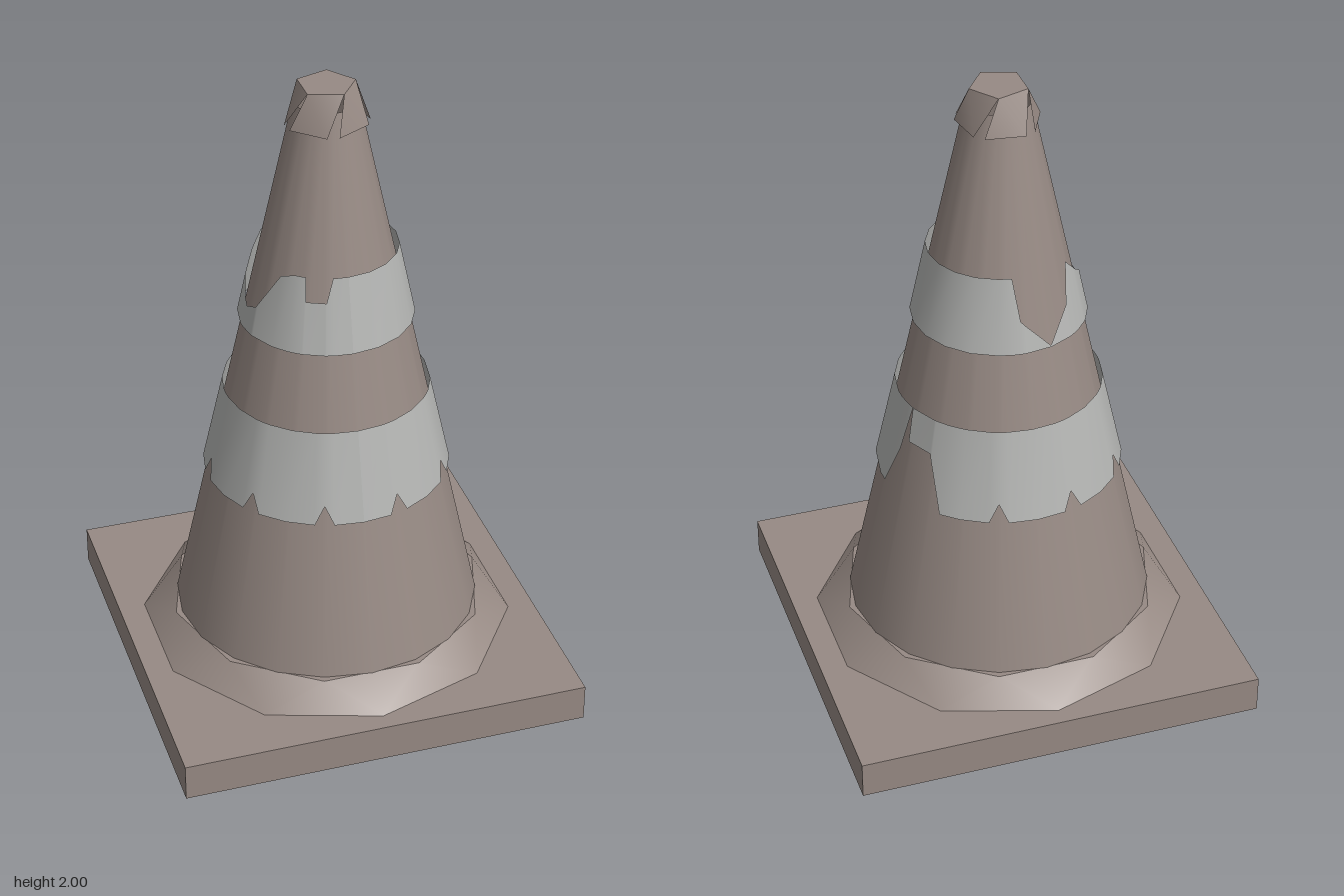
import * as THREE from 'three';

const rad = THREE.MathUtils.degToRad;

// Point on a circle; 0 degrees faces the front, 90 faces +x
const ring = (deg, r, y) => [r * Math.sin(rad(deg)), y, r * Math.cos(rad(deg))];

function buildSurface(positions, indices) {
  const g = new THREE.BufferGeometry();
  g.setAttribute('position', new THREE.Float32BufferAttribute(positions, 3));
  g.setIndex(indices);
  g.computeVertexNormals();
  return g;
}

// Linear interpolation through [degrees, height] keys
function sample(keys, deg, fallback) {
  for (let i = 0; i < keys.length - 1; i++) {
    const [a, ya] = keys[i], [b, yb] = keys[i + 1];
    if (deg >= a && deg <= b) return ya + (yb - ya) * (deg - a) / (b - a);
  }
  return fallback;
}

// Conical sleeve whose lower and upper edges may be torn
function tornBand(y0, r0, y1, r1, lowKeys, highKeys) {
  const angles = new Set([...lowKeys, ...highKeys].map(k => k[0]));
  for (let a = 0; a <= 360; a += 18) angles.add(a);
  const cols = [...angles].sort((a, b) => a - b);
  const radius = y => r0 + (r1 - r0) * (y - y0) / (y1 - y0);
  const pos = [], idx = [];
  cols.forEach((a, i) => {
    const high = sample(highKeys, a, y1);
    const low = Math.min(sample(lowKeys, a, y0), high);
    pos.push(...ring(a, radius(low), low), ...ring(a, radius(high), high));
    if (i < cols.length - 1) {
      const b = i * 2;
      idx.push(b, b + 2, b + 3, b, b + 3, b + 1);
    }
  });
  return buildSurface(pos, idx);
}

export function createModel() {
  const model = new THREE.Group();
  model.name = 'trafficCone';
  const rubber = new THREE.MeshStandardMaterial({ color: 0x978a84, side: THREE.DoubleSide });
  rubber.name = 'faded rubber';
  const tape = new THREE.MeshStandardMaterial({ color: 0xb4b5b3, side: THREE.DoubleSide });
  tape.name = 'grey tape';
  const add = (name, geometry, material) => {
    const mesh = new THREE.Mesh(geometry, material);
    mesh.name = name;
    model.add(mesh);
    return mesh;
  };

  // Square foot, hollow underneath: the bottom face group is left out
  const foot = new THREE.BoxGeometry(1.29, 0.12, 1.29);
  const faces = [...foot.index.array];
  faces.splice(18, 6);
  foot.setIndex(faces);
  foot.clearGroups();
  add('squareFoot', foot, rubber).position.y = 0.06;

  // Ten-sided collar, its top ring turned half a side against the bottom
  const collar = new THREE.CylinderGeometry(0.5, 0.59, 0.085, 10, 1, true);
  const up = new THREE.Vector3(0, 1, 0), v = new THREE.Vector3();
  const p = collar.attributes.position, n = collar.attributes.normal;
  for (let i = 0; i < p.count; i++) {
    if (p.getY(i) < 0) continue;
    for (const attr of [p, n]) {
      v.fromBufferAttribute(attr, i).applyAxisAngle(up, rad(-18));
      attr.setXYZ(i, v.x, v.y, v.z);
    }
  }
  add('collar', collar, rubber).position.y = 0.1625;
  const collarTop = add('collarTop', new THREE.CircleGeometry(0.5, 10), rubber);
  collarTop.rotation.x = -Math.PI / 2;
  collarTop.position.y = 0.205;

  // Tapered body
  add('coneBody', new THREE.CylinderGeometry(0.097, 0.48, 1.745, 20, 1, true), rubber)
    .position.y = 0.205 + 1.745 / 2;

  // Lower band: small nicks all round and one tear through the full height
  const tear = [[96, 0.71], [104, 0.85], [108, 1], [109.5, 0.89], [125, 0.89], [134, 0.71]];
  const lowKeys = [];
  for (let a = 18; a < 360; a += 36) {
    if (a === 90) lowKeys.push(...tear);
    else if (a !== 126) lowKeys.push([a - 4.5, 0.71], [a, 0.77], [a + 4.5, 0.71]);
  }
  add('lowerBand', tornBand(0.71, 0.385, 1, 0.32, lowKeys, []), tape);

  // Upper band: ragged top edge at the back and a notch at the front
  const highKeys = [
    [172, 1.475], [177, 1.34], [197, 1.245], [215, 1.34], [224, 1.465], [238, 1.41],
    [275, 1.31], [286, 1.33], [306, 1.46], [318, 1.475],
    [327, 1.475], [328, 1.4], [343, 1.4], [348, 1.475],
  ];
  add('upperBand', tornBand(1.24, 0.27, 1.475, 0.22, [], highKeys), tape);

  // Five-sided tip with twisted flaps hanging from its edges
  const pos = [0, 2, 0], idx = [];
  for (let k = 0; k < 5; k++) pos.push(...ring(18 + 72 * k, 0.09, 2));
  for (let k = 0; k < 5; k++) idx.push(0, 1 + k, 1 + (k + 1) % 5);
  add('tipTop', buildSurface(pos, idx), rubber);
  for (let k = 0; k < 5; k++) {
    const a = 18 + 72 * k;
    const flap = [...ring(a - 18, 0.13, 1.885), ...ring(a + 38, 0.13, 1.885),
      ...ring(a + 72, 0.09, 2), ...ring(a, 0.09, 2)];
    add('tipFlap', buildSurface(flap, [0, 1, 3, 1, 2, 3]), rubber);
  }
  return model;
}
